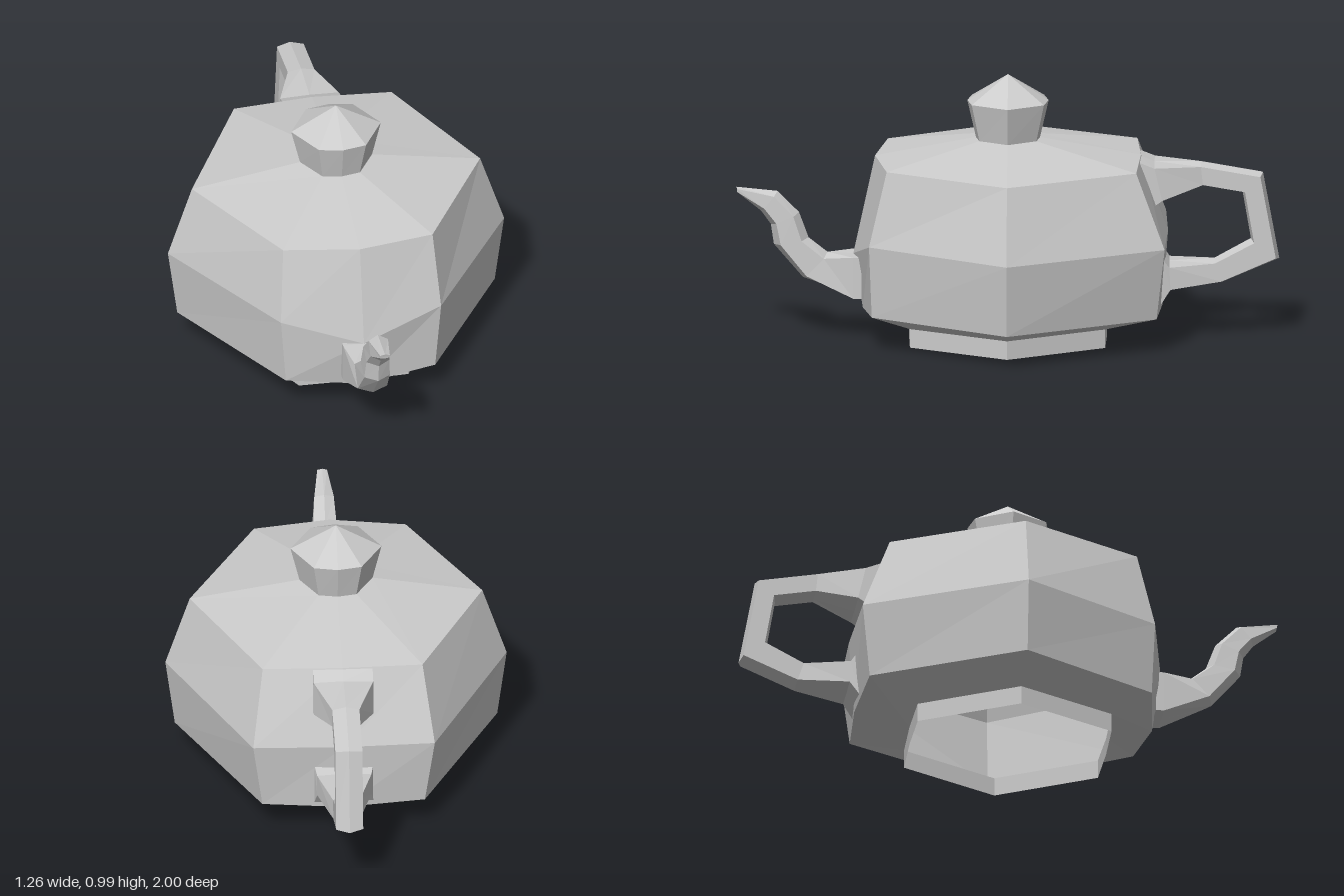
import * as THREE from 'three';

const material = new THREE.MeshStandardMaterial({
  color: 0xcccccc, flatShading: true, side: THREE.DoubleSide,
});

// Skin a list of closed cross-sections that all have the same number of points
function loft(name, rings) {
  const pos = [];
  const n = rings[0].length;
  for (let i = 0; i < rings.length - 1; i++) {
    for (let k = 0; k < n; k++) {
      const a = rings[i][k], b = rings[i][(k + 1) % n];
      const c = rings[i + 1][(k + 1) % n], d = rings[i + 1][k];
      pos.push(...a, ...b, ...c, ...a, ...c, ...d);
    }
  }
  const geometry = new THREE.BufferGeometry();
  geometry.setAttribute('position', new THREE.Float32BufferAttribute(pos, 3));
  geometry.computeVertexNormals();
  const mesh = new THREE.Mesh(geometry, material);
  mesh.name = name;
  return mesh;
}

// Horizontal hexagon with an extra point in the middle of its front and back
// front, back: [corner x, corner z, middle y, middle z]
function hexRing(y, r, front, back) {
  const [fx, fz, fmy, fmz] = front;
  const [bx, bz, bmy, bmz] = back;
  return [
    [0, fmy, fmz], [fx, y, fz], [r, y, 0], [bx, y, bz],
    [0, bmy, bmz], [-bx, y, bz], [-r, y, 0], [-fx, y, fz],
  ];
}

// Six-sided section in the middle plane, ridged on its upper and lower lines
// row: [upper z, upper y, lower z, lower y, half width, side inset]
function ridgedRing([uz, uy, lz, ly, w, inset], turn) {
  const at = (x, t) => [x * turn, uy + (ly - uy) * t, uz + (lz - uz) * t];
  return [at(0, 0), at(w, inset), at(w, 1 - inset), at(0, 1), at(-w, 1 - inset), at(-w, inset)];
}

export function createModel() {
  const group = new THREE.Group();
  group.name = 'teapot';

  // Foot, open underneath
  const footTop = hexRing(0.07, 0.405, [0.205, 0.36, 0.065, 0.365], [0.205, -0.36, 0.07, -0.365]);
  group.add(loft('foot', [
    hexRing(0, 0.405, [0.205, 0.36, 0, 0.365], [0.205, -0.36, 0, -0.365]),
    footTop,
  ]));

  // Faceted body, up to the neck
  const neck = hexRing(0.75, 0.135, [0.07, 0.105, 0.75, 0.118], [0.07, -0.105, 0.75, -0.118]);
  group.add(loft('body', [
    footTop,
    hexRing(0.13, 0.595, [0.28, 0.5, 0.105, 0.535], [0.3, -0.55, 0.12, -0.57]),
    hexRing(0.4, 0.63, [0.3, 0.51, 0.31, 0.57], [0.335, -0.58, 0.4, -0.59]),
    hexRing(0.68, 0.54, [0.28, 0.445, 0.68, 0.49], [0.295, -0.475, 0.685, -0.49]),
    neck,
  ]));

  // Lid knob with a pointed top
  group.add(loft('lidKnob', [
    neck,
    hexRing(0.89, 0.168, [0.088, 0.133, 0.89, 0.15], [0.088, -0.133, 0.89, -0.15]),
    hexRing(0.988, 0, [0, 0, 0.988, 0], [0, 0, 0.988, 0]),
  ]));

  // Curved spout, closed at the tip
  group.add(loft('spout', [
    [0.54, 0.31, 0.54, 0.155, 0.08, 0],
    [0.57, 0.31, 0.57, 0.155, 0.078, 0],
    [0.665, 0.315, 0.756, 0.22, 0.055, 0.15],
    [0.735, 0.37, 0.863, 0.345, 0.048, 0.2],
    [0.77, 0.465, 0.874, 0.42, 0.043, 0.2],
    [0.85, 0.545, 0.91, 0.47, 0.036, 0.2],
    [1, 0.56, 0.997, 0.54, 0.018, 0.2],
    [0.998, 0.55, 0.998, 0.55, 0, 0],
  ].map((row) => ridgedRing(row, -1))));

  // Angular handle, flared where it meets the body
  group.add(loft('handle', [
    [-0.48, 0.685, -0.53, 0.5, 0.11, 0.03],
    [-0.54, 0.66, -0.57, 0.53, 0.11, 0.03],
    [-0.71, 0.66, -0.72, 0.57, 0.05, 0.12],
    [-0.94, 0.62, -0.865, 0.545, 0.05, 0.12],
    [-1, 0.295, -0.895, 0.37, 0.05, 0.12],
    [-0.79, 0.205, -0.76, 0.295, 0.05, 0.12],
    [-0.6, 0.19, -0.595, 0.285, 0.1, 0.06],
    [-0.56, 0.13, -0.57, 0.32, 0.11, 0.03],
  ].map((row) => ridgedRing(row, 1))));

  return group;
}
